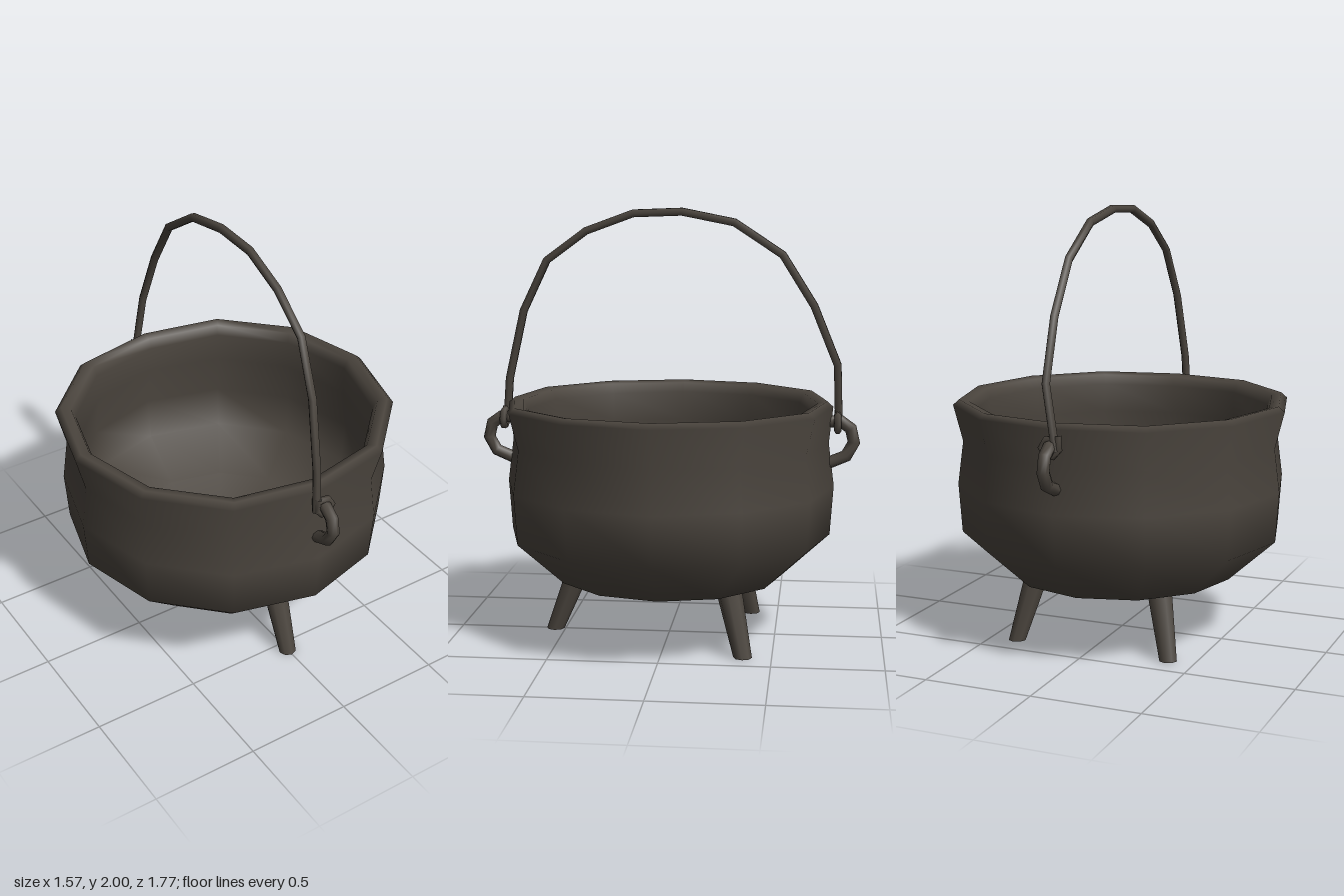
import * as THREE from 'three';

const iron = new THREE.MeshStandardMaterial({ color: 0x4b453e });
iron.name = 'dark iron';

// Straight-segmented path, sampled exactly at its corner points
class Polyline extends THREE.Curve {
  constructor(points) {
    super();
    this.points = points.map((p) => new THREE.Vector3(...p));
  }
  getPoint(t, target = new THREE.Vector3()) {
    const n = this.points.length - 1;
    const i = Math.min(Math.floor(t * n + 1e-6), n - 1);
    return target.lerpVectors(this.points[i], this.points[i + 1], t * n - i);
  }
  getPointAt(t, target) {
    return this.getPoint(t, target);
  }
  getTangentAt(t, target = new THREE.Vector3()) {
    const n = this.points.length - 1;
    const i = Math.round(t * n);
    const before = this.points[Math.max(i - 1, 0)], here = this.points[i], after = this.points[Math.min(i + 1, n)];
    const a = here.clone().sub(before).normalize();
    return target.copy(after).sub(here).normalize().add(a).normalize();
  }
}

function createMesh(name, geometry) {
  const mesh = new THREE.Mesh(geometry, iron);
  mesh.name = name;
  return mesh;
}

function rod(name, points, radius, sides) {
  return createMesh(name, new THREE.TubeGeometry(new Polyline(points), points.length - 1, radius, sides));
}

// Tapered leg, sheared so that the foot stays flat on the ground
function leg(name, foot, top) {
  const height = 0.3;
  const geometry = new THREE.CylinderGeometry(0.06, 0.042, height, 8);
  geometry.translate(0, height / 2, 0);
  const shear = new THREE.Matrix4().set(
    1, (top[0] - foot[0]) / height, 0, foot[0],
    0, 1, 0, 0,
    0, (top[1] - foot[1]) / height, 1, foot[1],
    0, 0, 0, 1);
  geometry.applyMatrix4(shear);
  return createMesh(name, geometry);
}

export function createModel() {
  const group = new THREE.Group();
  group.name = 'cauldron';

  // Pot: outer wall up, over the lip, and down the inside
  const profile = [
    [0, 0.18], [0.53, 0.29], [0.75, 0.49], [0.766, 0.72], [0.74, 0.92], [0.783, 1.09],
    [0.755, 1.115], [0.71, 1.105], [0.69, 1.06], [0.69, 0.92], [0.715, 0.72],
    [0.7, 0.51], [0.5, 0.34], [0, 0.24],
  ].map(([r, y]) => new THREE.Vector2(r, y));
  const potGeometry = new THREE.LatheGeometry(profile, 12);
  // The lip is pressed in slightly where the handle sits
  const position = potGeometry.attributes.position;
  for (let i = 0; i < position.count; i++) {
    if (position.getY(i) > 1 && Math.abs(position.getX(i)) < 0.01) {
      position.setZ(i, position.getZ(i) * 0.968);
    }
  }
  group.add(createMesh('pot', potGeometry));

  // Three legs
  group.add(leg('frontLeg', [0, 0.548], [0, 0.43]));
  for (const side of [1, -1]) {
    group.add(leg(side > 0 ? 'backLeftLeg' : 'backRightLeg', [side * 0.375, -0.37], [side * 0.305, -0.3]));
  }

  // Lugs on the front and back
  for (const side of [1, -1]) {
    const path = [[1.02, 0.7], [1.022, 0.795], [0.99, 0.84], [0.925, 0.855], [0.862, 0.82], [0.82, 0.72]];
    group.add(rod(side > 0 ? 'frontLug' : 'backLug', path.map(([y, z]) => [0, y, side * z]), 0.029, 8));
  }

  // Slightly bent bail handle
  const handle = [
    [-0.035, 1.0, 0.775], [-0.03, 1.2, 0.76], [-0.012, 1.52, 0.685], [0.005, 1.755, 0.57],
    [0.012, 1.89, 0.385], [0.02, 1.97, 0.165], [0.022, 1.978, -0.06], [0.027, 1.93, -0.3],
    [0.03, 1.785, -0.52], [0.032, 1.555, -0.665], [0.022, 1.285, -0.775], [-0.025, 1.0, -0.785],
  ];
  group.add(rod('handle', handle, 0.02, 6));

  // Hooked ends of the handle, curled round the lugs
  for (const side of [1, -1]) {
    const curl = [[-0.032, 1.07], [-0.036, 1.01], [-0.01, 0.98], [0.025, 0.982], [0.042, 1.015], [0.02, 1.05], [-0.03, 1.055]];
    group.add(rod(side > 0 ? 'frontHook' : 'backHook', curl.map(([x, y]) => [x, y, side * 0.78]), 0.017, 6));
  }
  return group;
}
